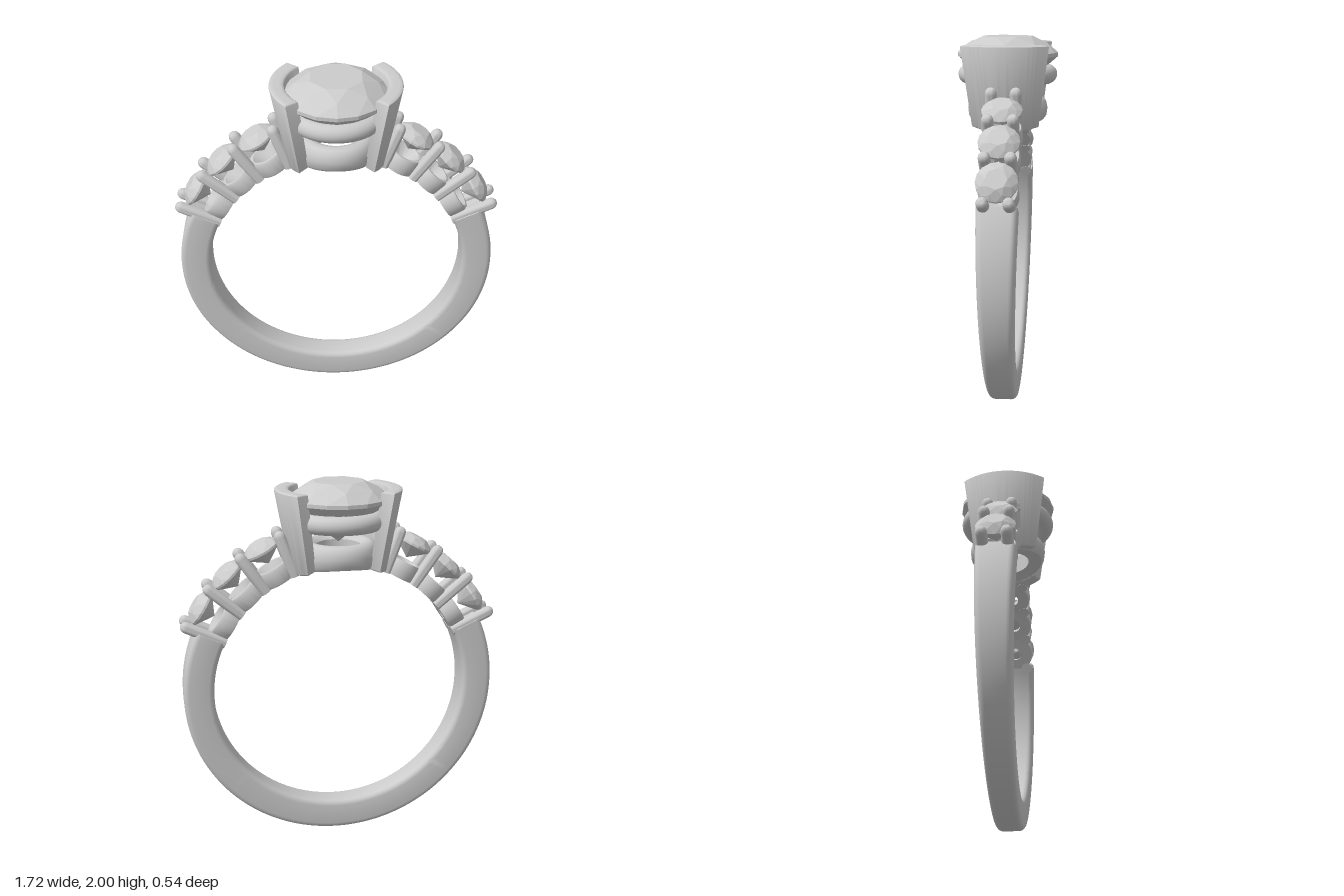
import * as THREE from 'three';
import { toCreasedNormals } from 'three/addons/utils/BufferGeometryUtils.js';
import { ConvexGeometry } from 'three/addons/geometries/ConvexGeometry.js';

const CY = 0.865;      // centre height of the finger hole
const INNER = 0.695;   // radius of the finger hole
const rad = THREE.MathUtils.degToRad;
const metal = new THREE.MeshStandardMaterial({ color: 0xcccccc });
const stone = new THREE.MeshStandardMaterial({ color: 0xcccccc, flatShading: true });
const v2 = (pts) => pts.map(([x, y]) => new THREE.Vector2(x, y));
const holeTop = (x) => CY + Math.sqrt(INNER * INNER - x * x);

function add(parent, name, geometry, material = metal) {
  const mesh = new THREE.Mesh(geometry, material);
  mesh.name = name;
  parent.add(mesh);
  return mesh;
}

// Round brilliant-cut stone, girdle at y = 0
function gemGeometry(R, crown, pavilion, girdle) {
  const pts = [new THREE.Vector3(0, -pavilion, 0)];
  const ring = (n, r, y, offset) => {
    for (let i = 0; i < n; i++) {
      const a = ((i + offset) / n) * Math.PI * 2;
      pts.push(new THREE.Vector3(r * Math.cos(a), y, r * Math.sin(a)));
    }
  };
  ring(8, R * 0.52, crown, 0);
  ring(8, R * 0.79, crown * 0.62, 0.5);
  ring(16, R, girdle / 2, 0);
  ring(16, R, -girdle / 2, 0);
  ring(8, R * 0.55, -pavilion * 0.5, 0.5);
  return new ConvexGeometry(pts);
}

// Plain shank: rounded section swept round the hole, narrowing to the bottom
function shankGeometry(from, to, steps) {
  const pos = [], idx = [], corner = 0.03, per = 5, n = per * 4;
  for (let i = 0; i <= steps; i++) {
    const a = rad(from + ((to - from) * i) / steps);
    const low = Math.max(0, -Math.sin(a));
    const half = 0.093 - 0.03 * Math.sin(a) * -1 * 0.5 + 0.006 * Math.sin(a);
    const r0 = INNER, r1 = 0.86 + 0.005 * low;
    for (let q = 0; q < 4; q++) {
      const cr = q === 0 || q === 3 ? r1 - corner : r0 + corner;
      const cz = q < 2 ? half - corner : corner - half;
      for (let k = 0; k < per; k++) {
        const t = ((q + k / (per - 1)) * Math.PI) / 2;
        const r = cr + corner * Math.cos(t);
        pos.push(r * Math.cos(a), CY + r * Math.sin(a), cz + corner * Math.sin(t));
      }
    }
  }
  for (let i = 0; i < steps; i++) {
    for (let j = 0; j < n; j++) {
      const a = i * n + j, c = i * n + ((j + 1) % n);
      idx.push(a, a + n, c, a + n, c + n, c);
    }
  }
  const e = steps * n;
  for (let j = 1; j < n - 1; j++) idx.push(0, j, j + 1, e, e + j + 1, e + j);
  const g = new THREE.BufferGeometry();
  g.setAttribute('position', new THREE.Float32BufferAttribute(pos, 3));
  g.setIndex(idx);
  return toCreasedNormals(g, rad(40));
}

// Curved, tapering wall of the head, its foot following the finger hole
function wallGeometry() {
  const bevel = 0.022, half = rad(43), ri = 0.262 + bevel, ro = 0.34 - bevel;
  const end = half - bevel / 0.3;
  const shape = new THREE.Shape();
  shape.absarc(0, 0, ro, -end, end, false);
  shape.absarc(0, 0, ri, end, -end, true);
  const g = new THREE.ExtrudeGeometry(shape, {
    depth: 1 - 2 * bevel, curveSegments: 24,
    bevelThickness: bevel, bevelSize: bevel, bevelSegments: 4,
  });
  g.rotateX(-Math.PI / 2);
  const p = g.attributes.position;
  for (let i = 0; i < p.count; i++) {
    const t = THREE.MathUtils.clamp(p.getY(i) + bevel, 0, 1);
    const s = 0.76 + 0.24 * t;
    const x = p.getX(i) * s, foot = holeTop(x);
    p.setXYZ(i, x, foot + t * (1.965 - foot), p.getZ(i) * s);
  }
  return toCreasedNormals(g, rad(35));
}

// Lower ring of the head with a saddle-shaped underside
function galleryGeometry() {
  const profile = v2([[0.12, 0], [0.195, 0], [0.21, 0.02], [0.215, 0.06], [0.208, 0.095],
    [0.19, 0.118], [0.165, 0.125], [0.14, 0.12], [0.12, 0.1], [0.12, 0]]);
  const g = new THREE.LatheGeometry(profile, 64);
  const p = g.attributes.position;
  for (let i = 0; i < p.count; i++) {
    const f = p.getY(i) / 0.125;
    const foot = holeTop(p.getX(i));
    p.setY(i, foot + f * (1.685 - foot));
  }
  return toCreasedNormals(g, rad(40));
}

export function createModel() {
  const model = new THREE.Group();
  model.name = 'ring';
  add(model, 'shank', shankGeometry(154.7, 385.3, 120));

  // Head with the large stone
  const head = new THREE.Group();
  head.name = 'head';
  model.add(head);
  const wall = wallGeometry();
  add(head, 'leftWall', wall);
  add(head, 'rightWall', wall).rotation.y = Math.PI;
  add(head, 'galleryRing', galleryGeometry());
  const support = add(head, 'supportRing', new THREE.TorusGeometry(0.216, 0.05, 20, 72));
  support.rotation.x = Math.PI / 2;
  support.position.y = 1.8;
  const centre = add(head, 'centreStone', gemGeometry(0.27, 0.095, 0.23, 0.02), stone);
  centre.position.y = 1.905;
  centre.rotation.y = Math.PI / 8;

  // Shoulders: seats, side stones and prong pairs on both sides
  const prong = toCreasedNormals(new THREE.LatheGeometry(v2([[0, 0], [0.031, 0], [0.031, 0.225],
    [0.028, 0.24], [0.019, 0.252], [0.009, 0.257], [0, 0.258]]), 20), rad(40));
  const seat = toCreasedNormals(new THREE.LatheGeometry(v2([[0.035, 0], [0.099, 0], [0.102, 0.01],
    [0.102, 0.08], [0.095, 0.092], [0.08, 0.092], [0.035, 0.03], [0.035, 0]]), 36), rad(35));
  const gem = gemGeometry(0.105, 0.045, 0.085, 0.012);
  const radial = (parent, name, degrees) => {
    const g = new THREE.Group();
    g.name = name;
    g.position.y = CY;
    g.rotation.z = rad(degrees - 90);
    parent.add(g);
    return g;
  };
  for (const side of [1, -1]) {
    const shoulder = new THREE.Group();
    shoulder.name = side > 0 ? 'leftShoulder' : 'rightShoulder';
    model.add(shoulder);
    const angle = (a) => (side > 0 ? a : 180 - a);
    for (let i = 0; i < 4; i++) {
      const pair = radial(shoulder, 'prongPair', angle(25.3 + i * 14.7));
      for (const z of [-0.064, 0.064]) {
        add(pair, 'prong', prong).position.set(0, INNER - 0.003, z);
      }
      // Small bridge joining neighbouring seats
      add(pair, 'bridge', new THREE.BoxGeometry(0.05, 0.085, 0.1)).position.y = INNER + 0.045;
    }
    for (let i = 0; i < 3; i++) {
      const setting = radial(shoulder, 'sideSetting', angle(32.65 + i * 14.7));
      add(setting, 'seat', seat).position.y = INNER - 0.004;
      add(setting, 'sideStone', gem, stone).position.y = 0.885;
    }
  }
  return model;
}
